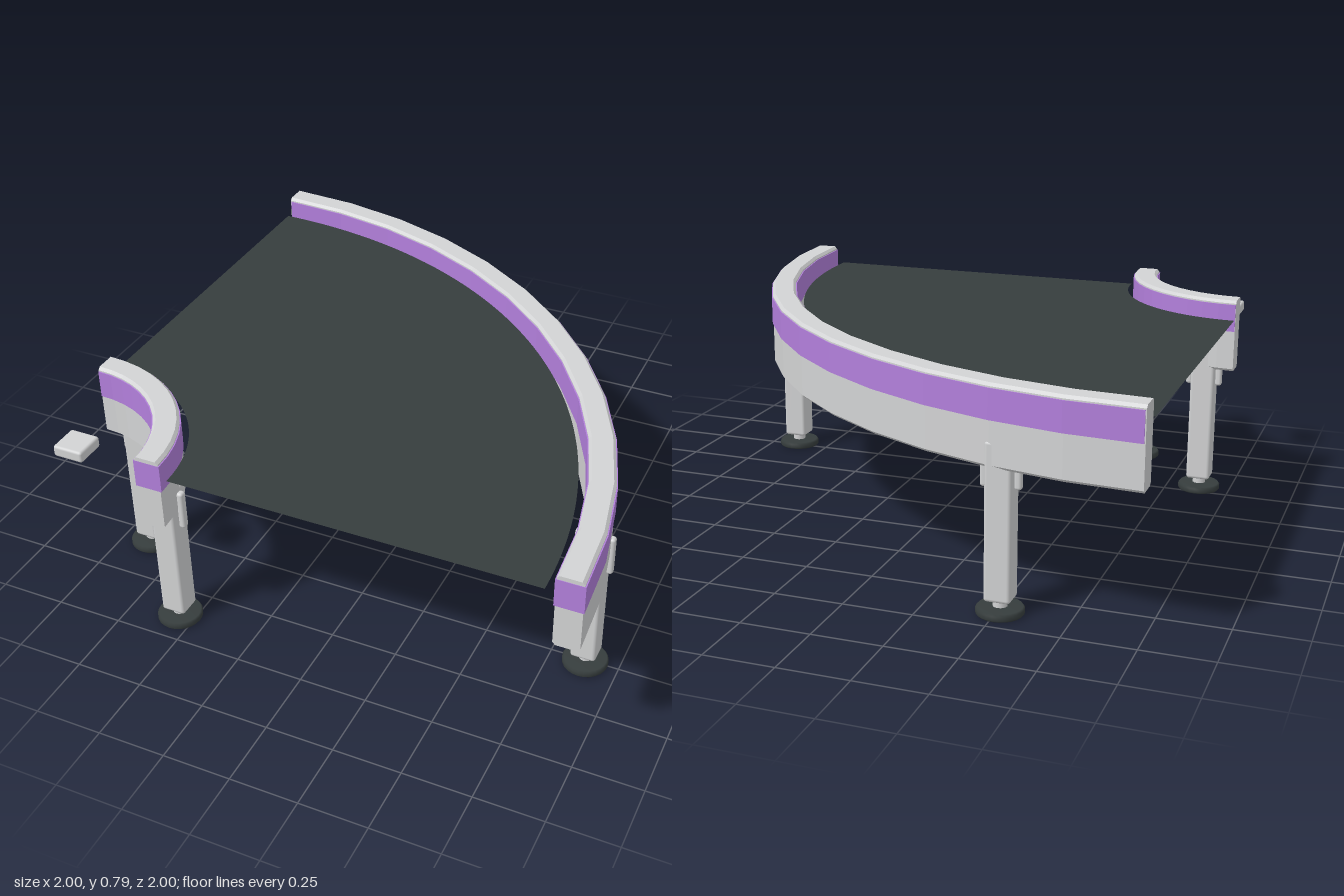
import * as THREE from 'three';
import { mergeGeometries } from 'three/addons/utils/BufferGeometryUtils.js';
import { RoundedBoxGeometry } from 'three/addons/geometries/RoundedBoxGeometry.js';

const SEGMENTS = 12; // straight pieces in each quarter-circle rail

// Closed counter-clockwise (radius, height) profile with bevelled corners
function profile(r0, r1, y0, y1, b) {
  const p = b > 0
    ? [[r0 + b, y0], [r1 - b, y0], [r1, y0 + b], [r1, y1 - b], [r1 - b, y1], [r0 + b, y1], [r0, y1 - b], [r0, y0 + b]]
    : [[r0, y0], [r1, y0], [r1, y1], [r0, y1]];
  return p.map(([x, y]) => new THREE.Vector2(x, y));
}

// Faceted quarter ring with capped ends, swept from +x to -z
function quarterRing(points, start = 0, end = Math.PI / 2) {
  const sweep = new THREE.LatheGeometry([...points, points[0]], SEGMENTS, Math.PI / 2 + start, end - start);
  const frontCap = new THREE.ShapeGeometry(new THREE.Shape(points)).rotateY(start);
  const backCap = new THREE.ShapeGeometry(new THREE.Shape(points));
  backCap.setIndex(Array.from(backCap.index.array).reverse());
  backCap.rotateY(end);
  const geometry = mergeGeometries([sweep, frontCap, backCap].map((g) => g.toNonIndexed()));
  geometry.computeVertexNormals();
  return geometry;
}

export function createModel() {
  const model = new THREE.Group();
  model.name = 'curvedConveyor';

  const material = (name, color) => {
    const m = new THREE.MeshStandardMaterial({ color });
    m.name = name;
    return m;
  };
  const metal = material('light grey metal', 0xd2d3d4);
  const purple = material('purple stripe', 0xb27fdb);
  const rubber = material('dark rubber', 0x363d3d);
  rubber.side = THREE.DoubleSide;

  const add = (parent, name, geometry, mat, x = 0, y = 0, z = 0) => {
    const mesh = new THREE.Mesh(geometry, mat);
    mesh.name = name;
    mesh.position.set(x, y, z);
    parent.add(mesh);
    return mesh;
  };

  // Everything curved turns about the corner at (-1, 1)
  const belt = new THREE.RingGeometry(0.53, 1.868, 64, 1, 0, Math.PI / 2).rotateX(-Math.PI / 2);
  add(model, 'belt', belt, rubber, -1, 0.72, 0.995);

  // Side rails, each with a purple band standing slightly proud
  for (const [name, r0, r1] of [['innerRail', 0.41, 0.51], ['outerRail', 1.9, 2]]) {
    const rail = new THREE.Group();
    rail.name = name;
    rail.position.set(-1, 0, 1);
    model.add(rail);
    add(rail, name + 'Body', quarterRing(profile(r0 + 0.004, r1 - 0.004, 0.51, 0.79, 0.01)), metal);
    add(rail, name + 'Stripe', quarterRing(profile(r0, r1, 0.67, 0.775, 0), -0.001, Math.PI / 2 - 0.002), purple);
  }

  // Legs with side clamps and round feet
  const post = new RoundedBoxGeometry(0.092, 0.55, 0.09, 2, 0.012);
  const clamp = new RoundedBoxGeometry(0.025, 0.15, 0.03, 2, 0.01);
  const stem = new THREE.CylinderGeometry(0.025, 0.025, 0.04, 16);
  const pad = new THREE.LatheGeometry(
    [[0, 0], [0.078, 0], [0.082, 0.005], [0.082, 0.02], [0.076, 0.027], [0, 0.027]].map(([x, y]) => new THREE.Vector2(x, y)), 24);
  const legs = [
    ['innerBackLeg', -0.88, 0.55], ['innerFrontLeg', -0.557, 0.88],
    ['outerBackLeg', -0.513, -0.885], ['outerFrontLeg', 0.88, 0.512],
  ];
  for (const [name, x, z] of legs) {
    const leg = new THREE.Group();
    leg.name = name;
    leg.position.set(x, 0, z);
    model.add(leg);
    add(leg, 'post', post, metal, 0, 0.325, 0);
    for (const side of [-1, 1]) add(leg, 'clamp', clamp, metal, side * 0.058, 0.51, 0);
    add(leg, 'footStem', stem, metal, 0, 0.04, 0);
    add(leg, 'footPad', pad, rubber);
  }

  // Small detached block inside the bend
  add(model, 'cornerBlock', new RoundedBoxGeometry(0.116, 0.044, 0.116, 2, 0.01), metal, -0.9, 0.673, 0.895);

  return model;
}
